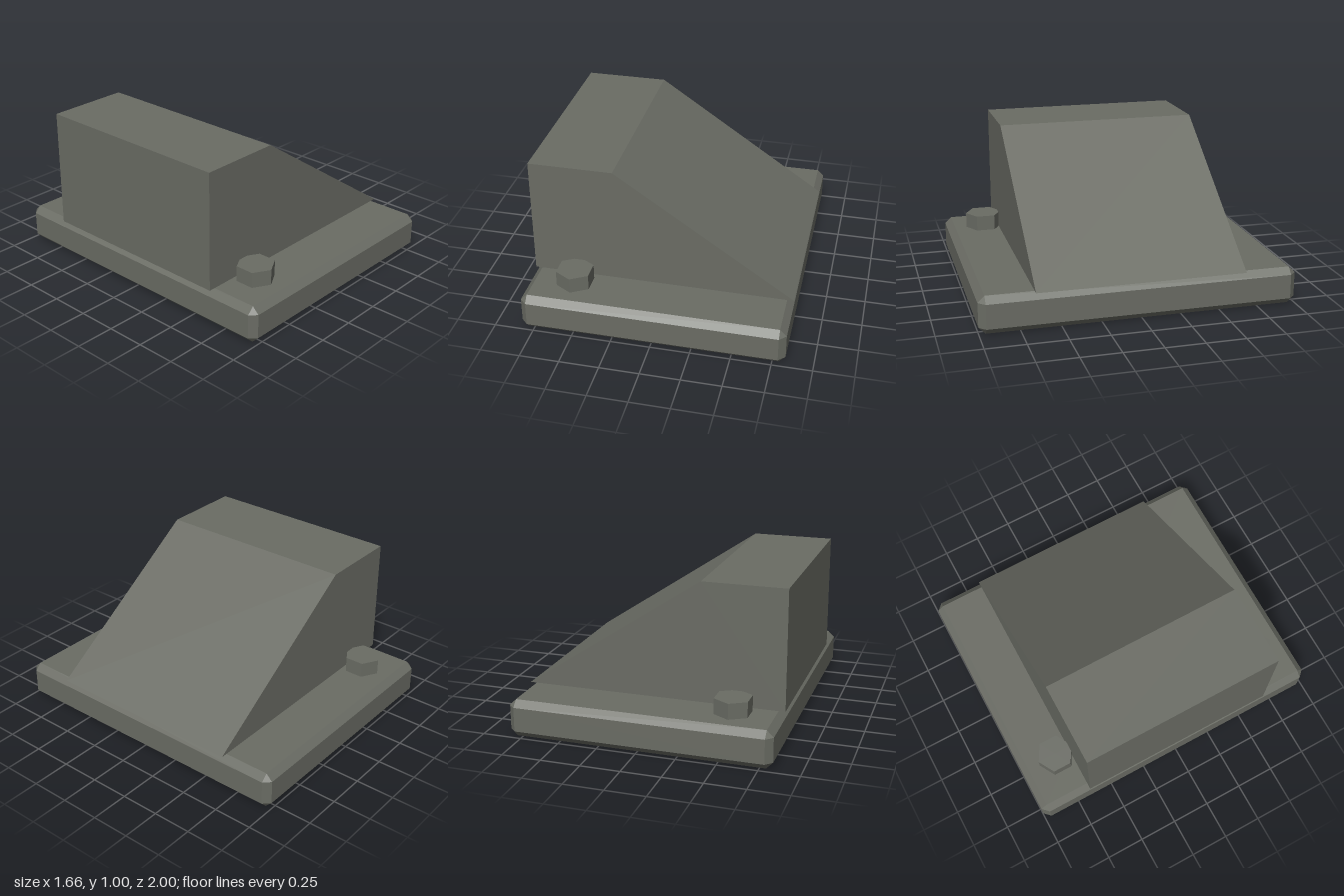
import * as THREE from 'three';
import { ConvexGeometry } from 'three/addons/geometries/ConvexGeometry.js';

// Box with every edge cut at 45 degrees
function chamferedBox(hx, hy, hz, c) {
  const points = [];
  for (const x of [-1, 1]) for (const y of [-1, 1]) for (const z of [-1, 1]) {
    points.push(
      new THREE.Vector3(x * hx, y * (hy - c), z * (hz - c)),
      new THREE.Vector3(x * (hx - c), y * hy, z * (hz - c)),
      new THREE.Vector3(x * (hx - c), y * (hy - c), z * hz)
    );
  }
  return new ConvexGeometry(points);
}

export function createModel() {
  const group = new THREE.Group();
  const metal = new THREE.MeshStandardMaterial({ color: 0x6a6c64, flatShading: true });
  metal.name = 'grey metal';

  const add = (name, geometry, x, y, z) => {
    const mesh = new THREE.Mesh(geometry, metal);
    mesh.name = name;
    mesh.position.set(x, y, z);
    group.add(mesh);
  };

  // Base plate
  const top = 0.24;
  add('basePlate', chamferedBox(0.83, top / 2, 1, 0.042), 0, top / 2, 0);

  // Sloped block, extruded across the plate
  const profile = new THREE.Shape([
    new THREE.Vector2(-0.83, top),
    new THREE.Vector2(0.83, top),
    new THREE.Vector2(-0.3, 1),
    new THREE.Vector2(-0.83, 1),
  ]);
  const halfWidth = 0.66;
  add('wedgeBlock', new THREE.ExtrudeGeometry(profile, { depth: 2 * halfWidth, bevelEnabled: false }), 0, 0, -halfWidth);

  // Hexagonal bolt heads on both sides of the block
  const hex = new THREE.CylinderGeometry(0.12, 0.12, 0.1, 6);
  add('frontBolt', hex, -0.535, top + 0.05, 0.76);
  add('backBolt', hex, -0.535, top + 0.05, -0.76);

  return group;
}
